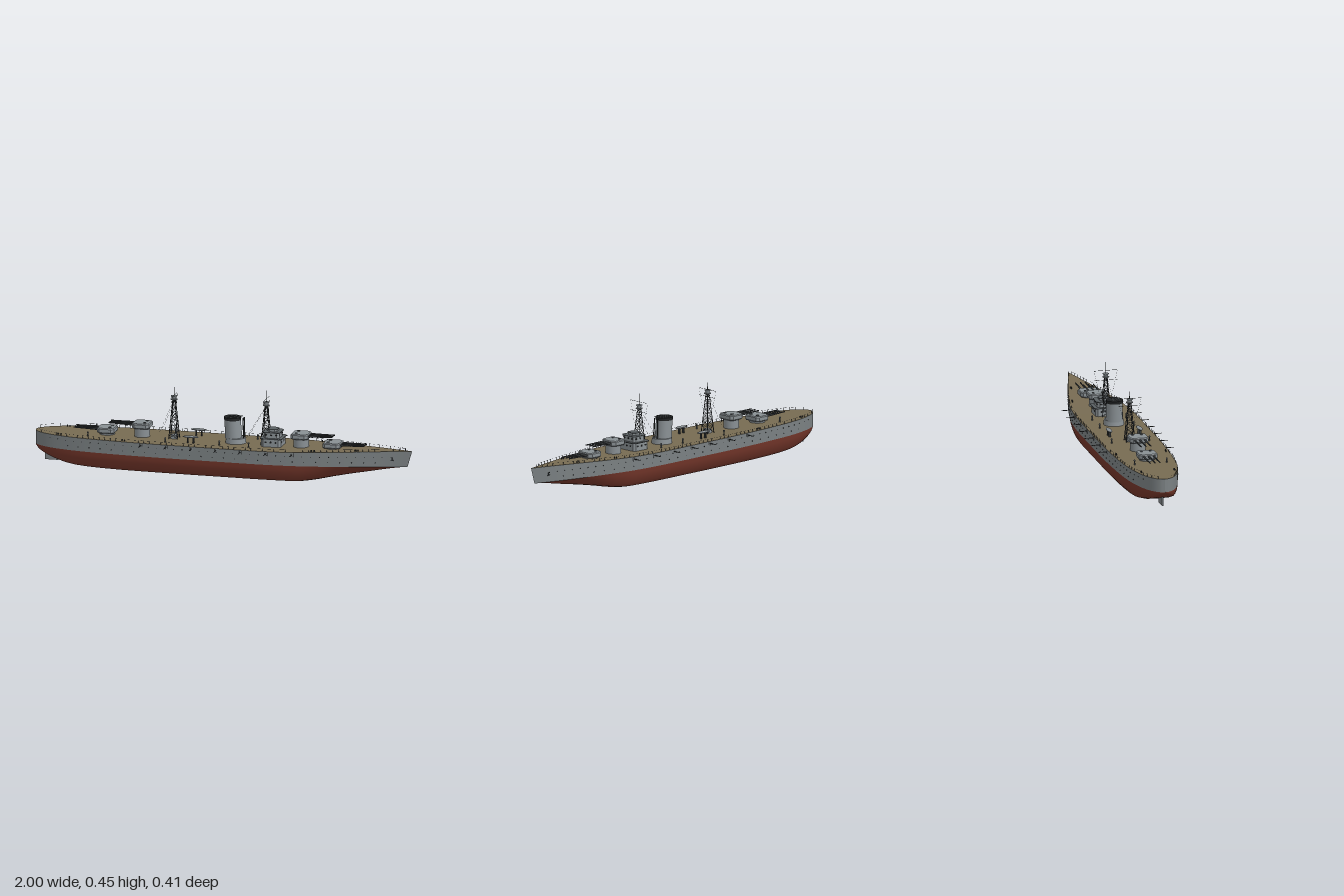
import * as THREE from 'three';
import { mergeGeometries } from 'three/addons/utils/BufferGeometryUtils.js';

const mat = (name, color, side = THREE.FrontSide) => {
  const m = new THREE.MeshStandardMaterial({ color, side });
  m.name = name;
  return m;
};
const V = (x, y, z) => new THREE.Vector3(x, y, z);

export function createModel() {
  const ship = new THREE.Group();
  ship.name = 'battleship';
  const hullGrey = mat('hull grey', 0x7b8183), red = mat('bottom red', 0x74362a);
  const deckTan = mat('deck tan', 0x776b52), lightGrey = mat('turret grey', 0x899094);
  const roofGrey = mat('roof grey', 0x5a6063), dark = mat('gunmetal', 0x35393b);
  const black = mat('funnel black', 0x1f2122);

  const add = (name, material, geos, parent = ship) => {
    const list = [].concat(geos);
    const mesh = new THREE.Mesh(list.length > 1 ? mergeGeometries(list) : list[0], material);
    mesh.name = name;
    parent.add(mesh);
    return mesh;
  };
  const box = (w, h, d, x, y, z) => new THREE.BoxGeometry(w, h, d).translate(x, y, z);
  const cyl = (rt, rb, h, x, y, z, n = 24) => new THREE.CylinderGeometry(rt, rb, h, n).translate(x, y, z);
  // Round bar between two points
  const bar = (a, b, r, r2 = r, n = 6) => {
    const d = b.clone().sub(a);
    const q = new THREE.Quaternion().setFromUnitVectors(V(0, 1, 0), d.clone().normalize());
    return new THREE.CylinderGeometry(r2, r, d.length(), n).applyQuaternion(q)
      .translate((a.x + b.x) / 2, (a.y + b.y) / 2, (a.z + b.z) / 2);
  };

  // ---- Hull: stations of position, half beam and keel height ----
  const stations = [
    [-1, 0, 0.1], [-0.992, 0.025, 0.088], [-0.965, 0.055, 0.068], [-0.9, 0.09, 0.04], [-0.8, 0.118, 0.013],
    [-0.7, 0.134, 0.004], [-0.5, 0.149, 0], [-0.25, 0.156, 0], [0, 0.156, 0], [0.22, 0.155, 0],
    [0.4, 0.142, 0], [0.5, 0.125, 0.013], [0.6, 0.104, 0.034], [0.7, 0.08, 0.053], [0.8, 0.054, 0.07],
    [0.9, 0.027, 0.086], [1, 0, 0.1]];
  const N = 96, waterY = 0.098;
  const curve = new THREE.CatmullRomCurve3(stations.map(s => V(...s)));
  const line = Array.from({ length: N + 1 }, (_, i) => curve.getPoint(i / N));
  const smooth = THREE.MathUtils.smoothstep;
  const deckY = x => 0.168 + 0.015 * smooth(x, 0.2, 1.1);
  const beam = x => {
    const i = Math.max(1, line.findIndex(p => p.x >= x));
    const a = line[i - 1], b = line[i];
    return a.y + (b.y - a.y) * (x - a.x) / (b.x - a.x);
  };
  const rake = (x, y) => x - 0.025 * smooth(x, 0.75, 1) * (deckY(x) - y) / 0.085;
  const grid = (m, point) => {
    const pos = [], idx = [];
    for (let i = 0; i <= N; i++) for (let j = 0; j <= m; j++) {
      pos.push(...point(line[i], j));
      if (i < N && j < m) {
        const a = i * (m + 1) + j, b = a + m + 1;
        idx.push(a, a + 1, b, b, a + 1, b + 1);
      }
    }
    const g = new THREE.BufferGeometry();
    g.setAttribute('position', new THREE.Float32BufferAttribute(pos, 3));
    g.setIndex(idx);
    g.computeVertexNormals();
    return g;
  };
  for (const s of [1, -1]) add(s > 0 ? 'leftTopside' : 'rightTopside', hullGrey, grid(3, (p, j) => {
    const t = (s > 0 ? j : 3 - j) / 3;
    const y = THREE.MathUtils.lerp(deckY(p.x), waterY, t);
    return [rake(p.x, y), y, s * Math.max(0, p.y) * (1 - 0.015 * t)];
  }));
  // Underwater section, from full amidships to a vee at the bow
  const half = [[1, 1], [0.985, 0.8], [0.955, 0.6], [0.875, 0.3], [0.77, 0.11], [0.5, 0.015]];
  const section = [...half, [0, 0], ...half.map(([w, h]) => [-w, h]).reverse()];
  add('underwaterHull', red, grid(section.length - 1, (p, j) => {
    const [w, h] = section[j], k = Math.min(waterY, Math.max(0, p.z));
    const vee = 0.75 * smooth(p.x, 0.35, 1);
    const y = k + (waterY - k) * h;
    const width = THREE.MathUtils.lerp(w, Math.sign(w) * h, vee);
    return [rake(p.x, y), y, Math.max(0, p.y) * 0.985 * width];
  }));
  add('deck', deckTan, grid(2, (p, j) => [p.x, deckY(p.x), (j - 1) * Math.max(0, p.y)]));
  add('rudder', hullGrey, box(0.07, 0.062, 0.008, -0.915, 0.043, 0));

  // ---- Portholes, railing and broadside guns ----
  const ports = [], rails = [], guns = [], mounts = [], anchors = [];
  for (const s of [1, -1]) {
    for (const [y, from, to, step] of [[0.148, -0.9, 0.93, 0.045], [0.12, -0.8, 0.86, 0.06]])
      for (let x = from; x < to; x += step)
        ports.push(new THREE.CylinderGeometry(0.0022, 0.0022, 0.004, 8).rotateX(Math.PI / 2)
          .translate(rake(x, y), y, s * beam(x) * 0.993));
    let last = null;
    for (let x = -0.985; x < 0.985; x += 0.03) {
      const z = s * Math.max(0, beam(x) - 0.003), y = deckY(x);
      rails.push(box(0.0014, 0.014, 0.0014, x, y + 0.007, z));
      const top = V(x, y + 0.013, z);
      if (last) rails.push(bar(last, top, 0.0004, 0.0004, 4));
      last = top;
    }
    for (const x of [-0.4, -0.265, -0.13, 0, 0.13, 0.265, 0.4]) {
      const z = beam(x);
      guns.push(bar(V(x, 0.158, s * (z - 0.01)), V(x, 0.158, s * (z + 0.046)), 0.0028, 0.0018, 8));
      mounts.push(cyl(0.009, 0.009, 0.014, x, 0.158, s * (z - 0.006), 12));
    }
    anchors.push(box(0.004, 0.016, 0.004, 0.9, 0.14, s * 0.027), box(0.014, 0.004, 0.004, 0.9, 0.134, s * 0.027));
  }
  add('portholes', black, ports);
  add('railings', dark, rails);
  add('broadsideGuns', dark, guns);
  add('broadsideMounts', hullGrey, mounts);
  add('anchors', dark, anchors);

  // ---- Main turrets with three guns each ----
  const plan = new THREE.Shape([[-0.042, -0.036], [-0.03, -0.046], [0.028, -0.046], [0.042, -0.032],
    [0.042, 0.032], [0.028, 0.046], [-0.03, 0.046], [-0.042, 0.036]].map(p => new THREE.Vector2(...p)));
  for (const [name, x, floor, turn] of [['aftLowerTurret', -0.62, 0.18, Math.PI], ['aftUpperTurret', -0.435, 0.216, Math.PI],
    ['foreUpperTurret', 0.41, 0.216, 0], ['foreLowerTurret', 0.58, 0.18, 0]]) {
    const t = new THREE.Group();
    t.name = name;
    t.position.set(x, floor, 0);
    t.rotation.y = turn;
    add('barbette', lightGrey, cyl(0.04, 0.04, floor - 0.16, 0, (0.16 - floor) / 2, 0, 32), t);
    add('gunhouse', lightGrey, new THREE.ExtrudeGeometry(plan, { depth: 0.018, bevelThickness: 0.005, bevelSize: 0.004, bevelSegments: 1 })
      .rotateX(-Math.PI / 2).translate(0, 0.003, 0), t);
    add('roofHatches', roofGrey, [-0.024, 0.024].map(z => box(0.012, 0.004, 0.01, -0.02, 0.028, z)), t);
    add('gunBarrels', dark, [-0.026, 0, 0.026].flatMap(z => [
      bar(V(0.03, 0.015, z), V(0.1, 0.016, z), 0.0055, 0.0045, 10),
      bar(V(0.1, 0.016, z), V(0.172, 0.017, z), 0.004, 0.003, 10)]), t);
    ship.add(t);
  }

  // ---- Funnel ----
  add('funnelBase', lightGrey, [cyl(0.05, 0.054, 0.03, 0.063, 0.18, 0, 32)]);
  const rakeFunnel = g => g.applyMatrix4(new THREE.Matrix4().makeShear(0, 0, -0.06, 0, 0, 0)).translate(0.063, 0, 0);
  add('funnelCasing', lightGrey, rakeFunnel(cyl(0.042, 0.044, 0.1, 0, 0.24, 0, 32)));
  add('funnelCap', black, rakeFunnel(cyl(0.044, 0.044, 0.015, 0, 0.295, 0, 32)));
  add('funnelGrating', roofGrey, [-0.024, -0.008, 0.008, 0.024].map(z => box(0.07, 0.002, 0.002, 0.06, 0.303, z)));
  add('steamPipes', dark, [-1, 1].map(s => bar(V(0.108, 0.17, s * 0.012), V(0.104, 0.3, s * 0.012), 0.003)));

  // ---- Bridge: chamfered tiers with overhanging roofs ----
  const tier = (l, w, h, y, c = 0.012) => {
    const a = l / 2, b = w / 2;
    const s = new THREE.Shape([[-a, -b + c], [-a + c, -b], [a - c, -b], [a, -b + c], [a, b - c], [a - c, b], [-a + c, b], [-a, b - c]]
      .map(p => new THREE.Vector2(...p)));
    return new THREE.ExtrudeGeometry(s, { depth: h, bevelEnabled: false }).rotateX(-Math.PI / 2).translate(0.262, y, 0);
  };
  add('bridgeTiers', lightGrey, [tier(0.104, 0.112, 0.044, 0.165), tier(0.082, 0.09, 0.03, 0.211), tier(0.05, 0.055, 0.012, 0.242)]);
  add('bridgeRoofs', roofGrey, [tier(0.116, 0.124, 0.004, 0.208), tier(0.092, 0.1, 0.004, 0.239), tier(0.055, 0.06, 0.003, 0.253)]);
  const windows = [];
  for (const [y, a, b] of [[0.193, 0.052, 0.056], [0.229, 0.041, 0.045]]) for (const d of [-0.027, 0, 0.027]) for (const s of [-1, 1])
    windows.push(new THREE.CylinderGeometry(0.005, 0.005, 0.003, 12).rotateZ(Math.PI / 2).translate(0.262 + s * a, y, d),
      new THREE.CylinderGeometry(0.005, 0.005, 0.003, 12).rotateX(Math.PI / 2).translate(0.262 + d, y, s * b));
  add('bridgeWindows', black, windows);

  // ---- Lattice masts with platforms, yards and rigging ----
  for (const [name, x, top, stayX] of [['foreMast', 0.225, 0.452, -0.1], ['aftMast', -0.265, 0.438, -0.07]]) {
    const m = new THREE.Group();
    m.name = name;
    m.position.x = x;
    const y0 = 0.168, y1 = 0.375, parts = [], levels = 6;
    const corner = (k, f) => {
      const r = THREE.MathUtils.lerp(0.023, 0.006, f);
      return V((k % 4 < 2 ? 1 : -1) * r, y0 + (y1 - y0) * f, ((k + 1) % 4 < 2 ? 1 : -1) * r);
    };
    for (let k = 0; k < 4; k++) {
      parts.push(bar(corner(k, 0), corner(k, 1), 0.0022, 0.0016));
      for (let i = 0; i < levels; i++) {
        const a = i / levels, b = (i + 1) / levels;
        parts.push(bar(corner(k, a), corner(k + 1, b), 0.0009, 0.0009, 4), bar(corner(k + 1, a), corner(k, b), 0.0009, 0.0009, 4),
          bar(corner(k, b), corner(k + 1, b), 0.001, 0.001, 4));
      }
    }
    parts.push(bar(V(0, 0.36, 0), V(0, top, 0), 0.003, 0.0008));
    for (const y of [0.356, top - 0.044]) parts.push(bar(V(0, y, -0.062), V(0, y, 0.062), 0.0009));
    add('lattice', dark, parts, m);
    add('lookout', lightGrey, [cyl(0.013, 0.009, 0.014, 0, 0.381, 0, 16), cyl(0.018, 0.018, 0.003, 0, 0.374, 0, 16),
      cyl(0.017, 0.017, 0.002, 0, 0.391, 0, 16)], m);
    const stays = [];
    for (const s of [-1, 1]) stays.push(bar(V(0, top - 0.044, s * 0.062), V(0, 0.29, s * 0.035), 0.0004, 0.0004, 4),
      bar(V(0, 0.37, s * 0.008), V(stayX, 0.2, s * 0.03), 0.0004, 0.0004, 4));
    add('rigging', dark, stays, m);
    ship.add(m);
  }
  add('aftMastHouse', lightGrey, box(0.03, 0.02, 0.036, -0.265, 0.177, 0));

  // ---- Boats on cradles, ventilators and bollards ----
  const boats = [], cradles = [], vents = [], bollards = [];
  for (const s of [-1, 1]) {
    boats.push(new THREE.SphereGeometry(1, 20, 12).scale(0.043, 0.006, 0.013).translate(-0.155, 0.201, s * 0.08));
    for (const x of [-0.17, -0.14]) cradles.push(box(0.005, 0.034, 0.012, x, 0.182, s * 0.08));
    for (const [x, z] of [[-0.285, 0.1], [0.155, 0.09], [0.0, 0.09], [-0.7, 0.085]]) {
      vents.push(cyl(0.003, 0.004, 0.022, x, 0.178, s * z, 10));
      vents.push(new THREE.SphereGeometry(0.005, 10, 8).translate(x, 0.19, s * z));
    }
    for (const x of [-0.85, -0.5, 0.5, 0.72]) for (const d of [-0.007, 0.007])
      bollards.push(cyl(0.003, 0.003, 0.01, x + d, deckY(x) + 0.004, s * (beam(x) - 0.018), 8));
  }
  add('boats', lightGrey, boats);
  add('boatCradles', dark, cradles);
  add('ventilators', roofGrey, vents);
  add('bollards', dark, bollards);
  return ship;
}
